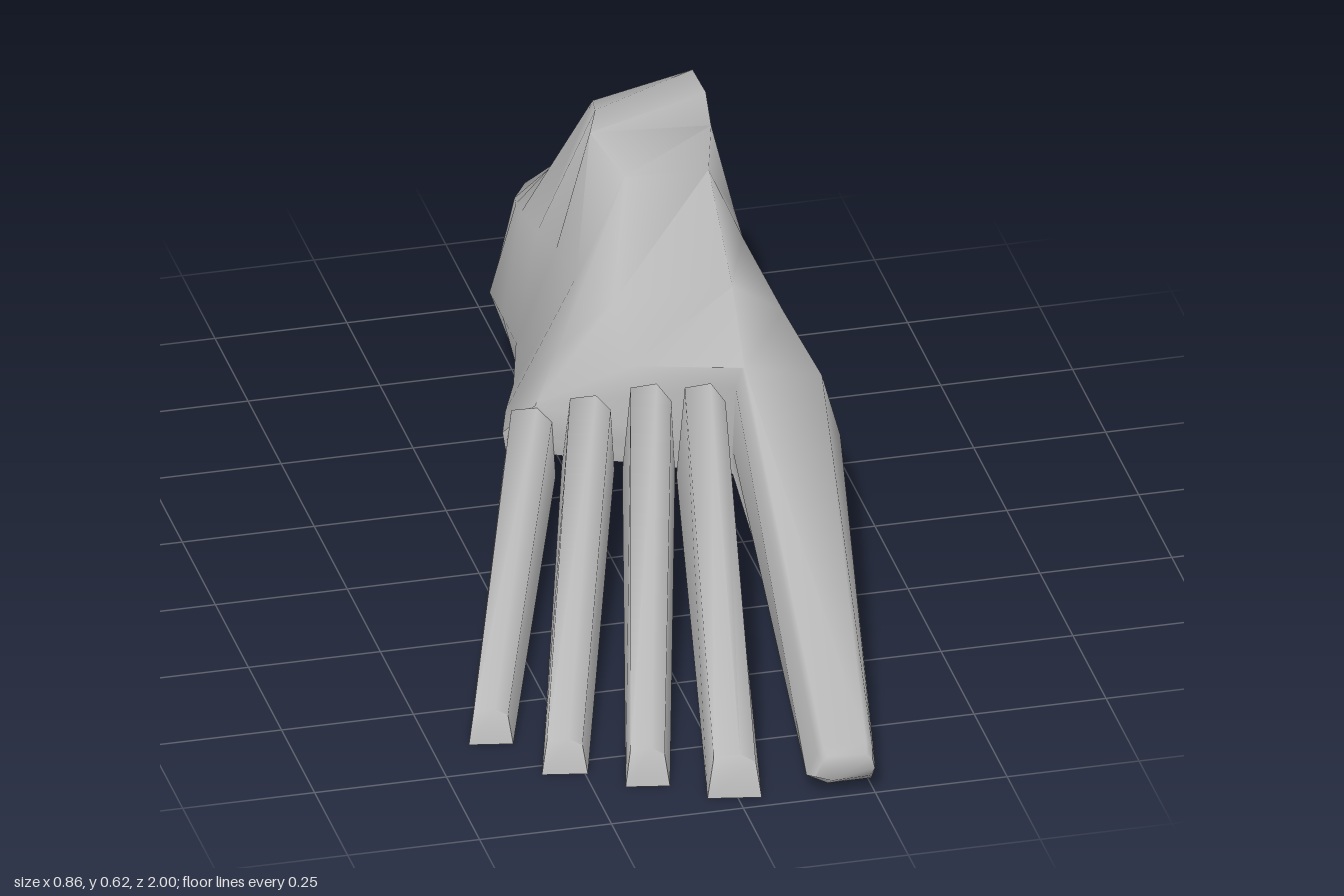
import * as THREE from 'three';
import { toCreasedNormals } from 'three/addons/utils/BufferGeometryUtils.js';

const bone = new THREE.MeshStandardMaterial({ color: 0xb8b8b8 });
bone.name = 'bone grey';

// Skin cross-sections running from back to front; each is a list of Vector3
// going from the lower left corner, over the top, to the lower right corner.
function loft(rings, crease) {
  const pos = [];
  const tri = (a, b, c) => {
    const area = b.clone().sub(a).cross(c.clone().sub(a)).length();
    if (area > 1e-7) for (const p of [a, b, c]) pos.push(p.x, p.y, p.z);
  };
  const n = rings[0].length;
  for (let i = 0; i < rings.length - 1; i++) {
    for (let j = 0; j < n; j++) {
      const k = (j + 1) % n;
      const a = rings[i][j], b = rings[i][k], c = rings[i + 1][j], d = rings[i + 1][k];
      tri(a, c, b);
      tri(b, c, d);
    }
  }
  const back = rings[0], front = rings[rings.length - 1];
  for (let j = 1; j < n - 1; j++) {
    tri(back[0], back[j], back[j + 1]);
    tri(front[0], front[j + 1], front[j]);
  }
  const g = new THREE.BufferGeometry();
  g.setAttribute('position', new THREE.Float32BufferAttribute(pos, 3));
  return toCreasedNormals(g, crease);
}

// Row: z, skew, then x,y pairs. Skew swings the section round in plan.
function ring([z, skew, ...xy]) {
  const pts = [];
  for (let i = 0; i < xy.length; i += 2) {
    pts.push(new THREE.Vector3(xy[i], xy[i + 1], z + skew * (Math.min(xy[i], 0.3) - 0.2)));
  }
  return pts;
}

// Heel and ankle stump
const heel = [
  [-0.985, 0.2, 0.15, 0.13, 0.13, 0.18, 0.15, 0.21, 0.17, 0.23, 0.25, 0.23, 0.27, 0.22, 0.28, 0.17, 0.24, 0.13],
  [-0.92, 0.1, 0.11, 0.02, 0.04, 0.19, 0.07, 0.29, 0.13, 0.33, 0.24, 0.33, 0.32, 0.29, 0.335, 0.18, 0.22, 0.02],
  [-0.81, 0, 0.05, 0.02, -0.01, 0.20, 0.02, 0.33, 0.12, 0.41, 0.25, 0.425, 0.355, 0.345, 0.39, 0.20, 0.355, 0.02],
  [-0.76, 0, 0.03, 0.025, -0.03, 0.20, 0.01, 0.345, 0.14, 0.48, 0.285, 0.55, 0.34, 0.39, 0.395, 0.20, 0.36, 0.025],
  [-0.70, 0, 0.01, 0.03, -0.055, 0.20, 0.005, 0.36, 0.14, 0.575, 0.33, 0.615, 0.355, 0.42, 0.395, 0.20, 0.36, 0.03],
  [-0.60, 0, -0.005, 0.04, -0.055, 0.20, 0.01, 0.37, 0.12, 0.61, 0.33, 0.62, 0.36, 0.42, 0.40, 0.20, 0.37, 0.04],
  [-0.50, 0, -0.03, 0.05, -0.055, 0.20, 0.02, 0.38, 0.085, 0.62, 0.315, 0.605, 0.36, 0.42, 0.40, 0.21, 0.375, 0.055],
];

// Instep, its slanted front face, and the big toe growing out of it
const instep = [
  [-0.38, 0, -0.085, 0.08, -0.09, 0.18, 0.03, 0.39, 0.12, 0.585, 0.28, 0.58, 0.345, 0.43, 0.40, 0.21, 0.385, 0.085],
  [-0.22, 0.25, -0.125, 0.12, -0.125, 0.17, -0.03, 0.30, 0.07, 0.40, 0.28, 0.43, 0.375, 0.37, 0.41, 0.22, 0.39, 0.125],
  [-0.015, 0.53, -0.15, 0.145, -0.155, 0.18, -0.10, 0.245, 0.06, 0.35, 0.25, 0.375, 0.39, 0.355, 0.425, 0.225, 0.395, 0.15],
  [-0.015, 0.53, 0.23, 0.15, 0.23, 0.20, 0.235, 0.33, 0.245, 0.373, 0.25, 0.375, 0.39, 0.355, 0.425, 0.225, 0.395, 0.15],
  [0.965, 0.1, 0.17, 0.015, 0.13, 0.035, 0.15, 0.08, 0.16, 0.097, 0.24, 0.097, 0.252, 0.085, 0.257, 0.05, 0.25, 0.02],
  [0.993, 0.1, 0.17, 0.035, 0.14, 0.045, 0.153, 0.075, 0.163, 0.085, 0.235, 0.085, 0.245, 0.077, 0.25, 0.055, 0.24, 0.04],
];

// Small toe section: flat base, leaning sides and a low ridge on top
const toeShape = [[0, 0], [0.16, 0.93], [0.65, 1], [0.93, 0.82], [1, 0]];
function toeRing(x, z, width, bottom, top, skew, lean) {
  return toeShape.map(([u, v]) =>
    new THREE.Vector3(x + u * width, bottom + v * (top - bottom), z + u * width * skew - v * lean));
}

// Per toe: root x, z, bottom, top; then tip x, z, width, top
const toes = [
  [-0.155, -0.20, 0.10, 0.24, -0.43, 0.64, 0.08, 0.068],
  [-0.06, -0.135, 0.135, 0.287, -0.328, 0.785, 0.083, 0.068],
  [0.04, -0.075, 0.142, 0.33, -0.19, 0.868, 0.08, 0.075],
  [0.13, -0.025, 0.147, 0.345, -0.055, 0.948, 0.098, 0.085],
];

export function createModel() {
  const model = new THREE.Group();
  model.name = 'footBones';
  const add = (name, geometry) => {
    const mesh = new THREE.Mesh(geometry, bone);
    mesh.name = name;
    model.add(mesh);
  };

  add('heelAnkleAndBigToe', loft([...heel, ...instep].map(ring), 1.33));

  toes.forEach(([x0, z0, b0, t0, x1, z1, w1, t1], i) => {
    add('smallToe' + (i + 1), loft([
      toeRing(x0, z0, 0.09, b0, t0, 0.45, 0),
      toeRing(x1, z1, w1, 0.005, t1, 0.2, 0.02),
    ], 1.25));
  });
  return model;
}
